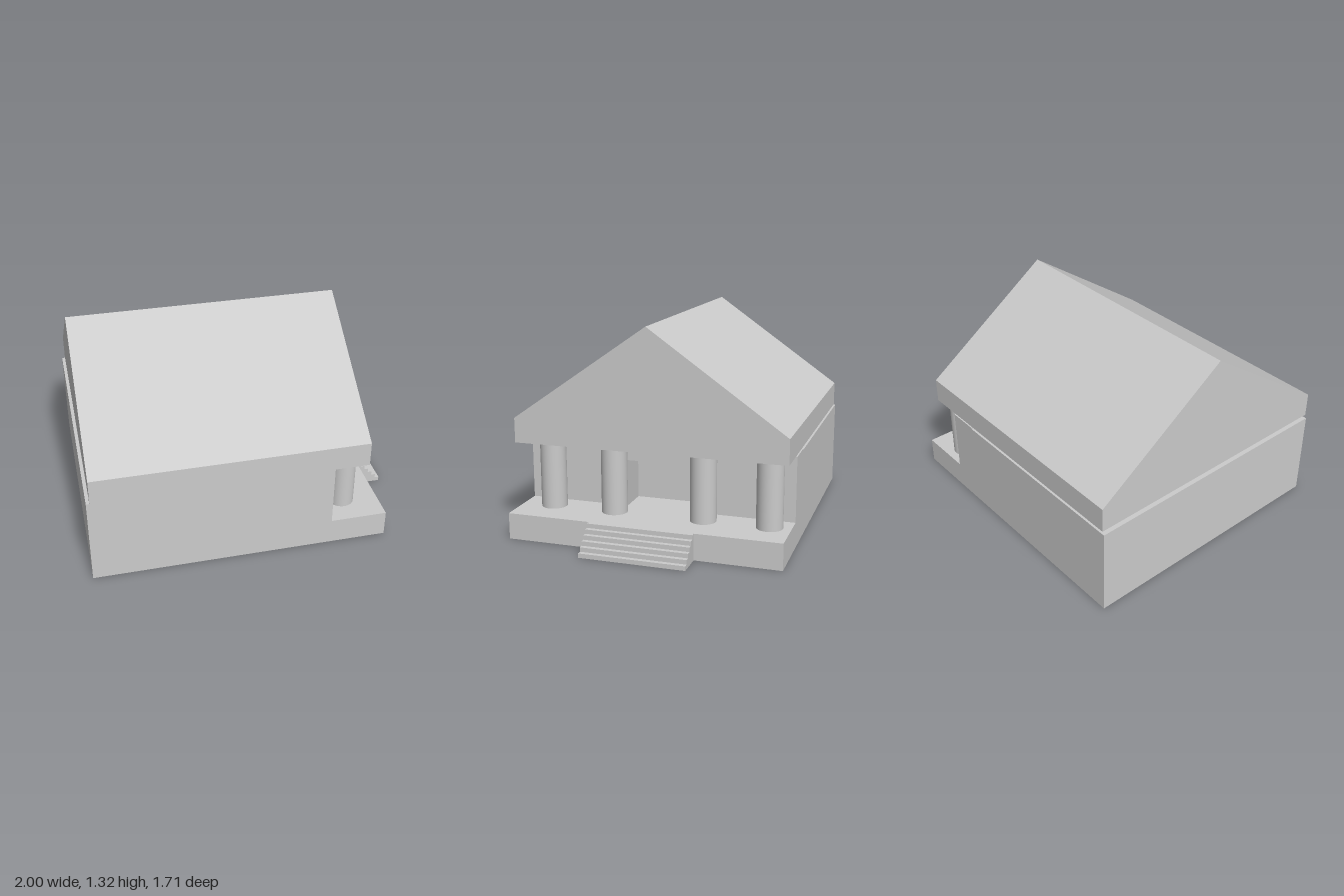
import * as THREE from 'three';

const grey = new THREE.MeshStandardMaterial({ color: 0xcccccc });

function add(group, name, geometry) {
  const mesh = new THREE.Mesh(geometry, grey);
  mesh.name = name;
  group.add(mesh);
  return mesh;
}

// Box given by its limits on each axis
function block(group, name, [x0, x1], [y0, y1], [z0, z1]) {
  const mesh = add(group, name, new THREE.BoxGeometry(x1 - x0, y1 - y0, z1 - z0));
  mesh.position.set((x0 + x1) / 2, (y0 + y1) / 2, (z0 + z1) / 2);
}

function extrude(points, depth) {
  const shape = new THREE.Shape(points.map(([x, y]) => new THREE.Vector2(x, y)));
  return new THREE.ExtrudeGeometry(shape, { depth, bevelEnabled: false });
}

export function createModel() {
  const temple = new THREE.Group();
  temple.name = 'temple';

  const floorY = 0.163, wallTop = 0.56, roofY = 0.57;
  const back = -0.857, front = 0.84;
  const wallX = 0.29, porchX = 0.483, edgeX = 0.837;

  // Floor slab, carrying the hall and the porch
  block(temple, 'podium', [-1, edgeX], [0, floorY], [back, front]);

  // Hall and the front wall around the doorway
  const doorBack = -0.22, doorFront = 0.2, doorTop = 0.457;
  block(temple, 'hall', [-1, wallX], [floorY, wallTop], [back, front]);
  block(temple, 'leftDoorWall', [wallX, porchX], [floorY, wallTop], [doorFront, front]);
  block(temple, 'rightDoorWall', [wallX, porchX], [floorY, roofY - 0.002], [back, doorBack]);
  block(temple, 'doorLintel', [wallX, porchX], [doorTop, roofY - 0.002], [doorBack, doorFront]);

  // Row of porch columns
  for (const z of [0.64, 0.238, -0.325, -0.727]) {
    const column = add(temple, 'column',
      new THREE.CylinderGeometry(0.08, 0.08, roofY - floorY, 32));
    column.position.set(0.605, (floorY + roofY) / 2, z);
  }

  // Entrance stairs: stepped profile extruded along z
  const steps = 6, run = (1 - edgeX) / steps, rise = floorY / steps;
  const profile = [[edgeX, 0], [1, 0]];
  for (let i = 0; i < steps; i++) {
    const x = 1 - i * run;
    profile.push([x, (i + 1) * rise], [x - run, (i + 1) * rise]);
  }
  const stairs = add(temple, 'stairs', extrude(profile, 0.65));
  stairs.position.z = -0.335;

  // Gabled roof: pentagon extruded along x (profile x becomes -z)
  const gable = [[-0.855, roofY], [0.85, roofY], [0.85, 0.725], [0, 1.32], [-0.855, 0.725]];
  const roof = add(temple, 'roof', extrude(gable, 1.67));
  roof.rotation.y = Math.PI / 2;
  roof.position.x = -0.98;

  return temple;
}
